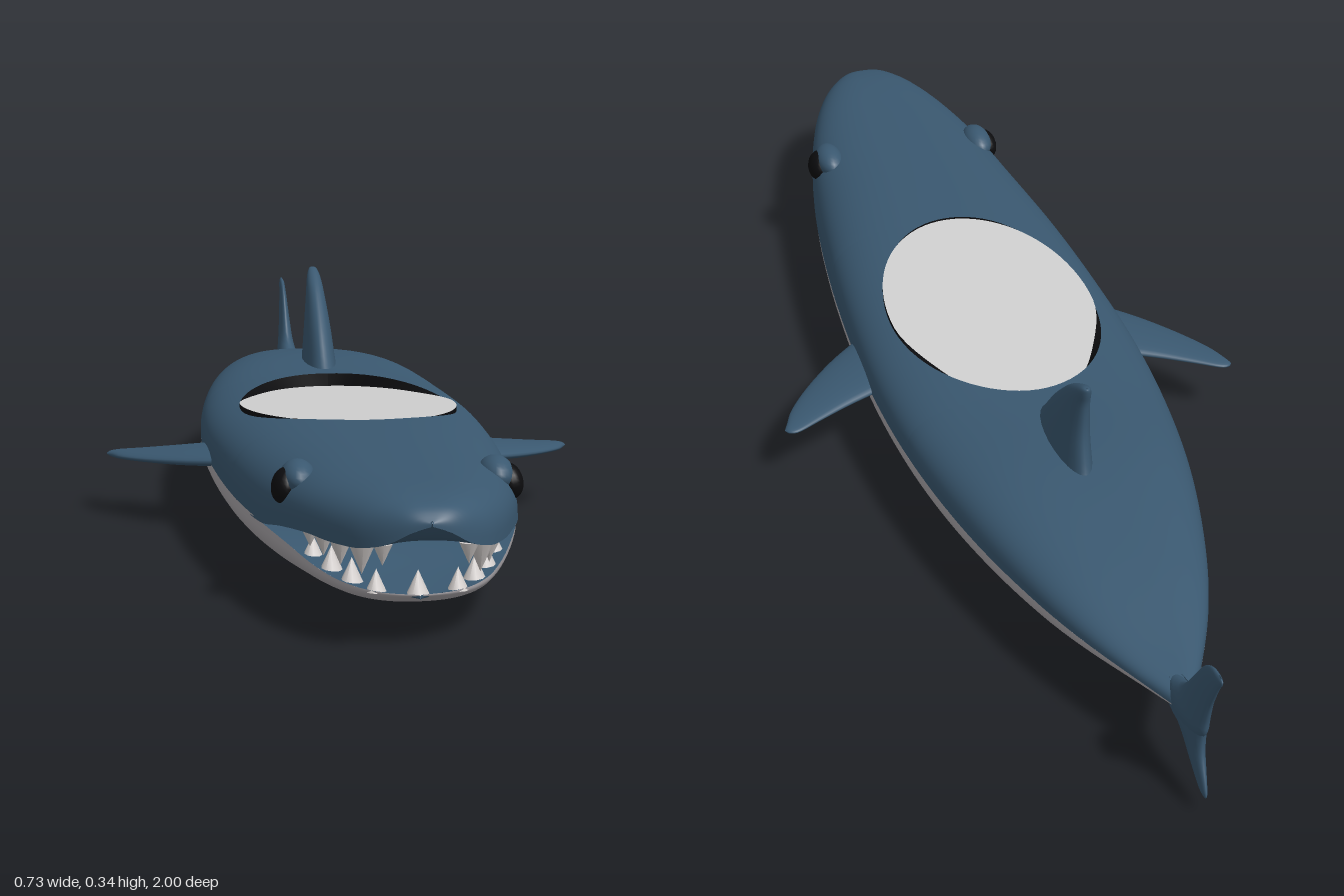
import * as THREE from 'three';
import { mergeGeometries, mergeVertices } from 'three/addons/utils/BufferGeometryUtils.js';
import { ParametricGeometry } from 'three/addons/geometries/ParametricGeometry.js';

const material = (name, color) => {
  const m = new THREE.MeshStandardMaterial({ color, side: THREE.DoubleSide });
  m.name = name;
  return m;
};

// smooth profile along z from [z, value] pairs
const profile = (...pairs) => {
  const curve = new THREE.CubicInterpolant(pairs.map(p => p[0]), pairs.map(p => p[1]), 1);
  return z => curve.evaluate(z)[0];
};

const width = profile([-0.86, 0.014], [-0.8, 0.045], [-0.7, 0.09], [-0.6, 0.125], [-0.4, 0.175], [-0.2, 0.205],
  [0, 0.217], [0.2, 0.213], [0.4, 0.2], [0.6, 0.177], [0.7, 0.16], [0.8, 0.137], [0.9, 0.104], [0.95, 0.077], [0.98, 0.047], [0.993, 0.024], [1, 0.001]);
const top = profile([-0.86, 0.13], [-0.8, 0.138], [-0.6, 0.172], [-0.4, 0.192], [-0.17, 0.19], [0.1, 0.195],
  [0.37, 0.201], [0.8, 0.202], [0.9, 0.201], [0.95, 0.197], [0.98, 0.19], [1, 0.174]);
const upperSeam = profile([-0.86, 0.114], [-0.8, 0.118], [-0.4, 0.112], [0, 0.105], [0.4, 0.1], [0.6, 0.1],
  [0.7, 0.115], [0.8, 0.126], [0.9, 0.13], [0.95, 0.135], [0.98, 0.147], [1, 0.17]);
const lowerSeam = profile([-0.86, 0.114], [-0.8, 0.118], [-0.4, 0.112], [0, 0.105], [0.4, 0.1], [0.6, 0.1],
  [0.7, 0.093], [0.8, 0.076], [0.9, 0.062]);
const jawWidth = profile([-0.86, 0.014], [-0.8, 0.045], [-0.7, 0.09], [-0.6, 0.125], [-0.4, 0.175], [-0.2, 0.205],
  [0, 0.217], [0.2, 0.213], [0.4, 0.2], [0.6, 0.176], [0.7, 0.153], [0.8, 0.117], [0.85, 0.09], [0.88, 0.06], [0.893, 0.033], [0.9, 0.001]);
const bottom = profile([-0.86, 0.108], [-0.8, 0.1], [-0.6, 0.058], [-0.4, 0.03], [-0.2, 0.01], [0, 0.002], [0.1, 0],
  [0.3, 0.003], [0.5, 0.012], [0.7, 0.027], [0.8, 0.036], [0.87, 0.047], [0.9, 0.06]);

// cockpit ellipse
const CZ = 0.1, CX = 0.165, CL = 0.27;
const floorY = z => 0.198 - 0.053 * (CZ + CL - z);
const cockpitHalf = z => CX * Math.sqrt(Math.max(0, 1 - ((z - CZ) / CL) ** 2));

const range = (n, f) => Array.from({ length: n + 1 }, (_, i) => f(i / n));
const easeOut = (a, b, n) => range(n, t => a + (b - a) * Math.sin(t * Math.PI / 2));

// surface through stations zs; f(z, v) gives [x, y] or [x, y, z]
function sheet(zs, nv, f) {
  const n = zs.length - 1;
  return new ParametricGeometry((u, v, p) => {
    const z = zs[Math.min(n, Math.round(u * n))];
    const [x, y, w = z] = f(z, Math.min(1, v));
    p.set(x, y, w);
  }, n, nv);
}

function smooth(...geos) {
  for (const g of geos) { g.deleteAttribute('normal'); g.deleteAttribute('uv'); }
  const g = mergeVertices(mergeGeometries(geos), 1e-5);
  g.computeVertexNormals();
  return g;
}

const P = 2.8;
const rimAngle = z => Math.acos(Math.min(1, (cockpitHalf(z) / width(z)) ** (P / 2)));
const deckPoint = (z, a) => {
  const s = upperSeam(z);
  return [width(z) * Math.max(0, Math.cos(a)) ** (2 / P), s + (top(z) - s) * Math.max(0, Math.sin(a)) ** (2 / P)];
};

// fin lofted from [height, front z, back z, half thickness]; place maps (height, z, thickness) to a point
function fin(rows, place) {
  const path = i => new THREE.SplineCurve(rows.map(r => new THREE.Vector2(r[0], r[i])));
  const [front, back, thick] = [path(1), path(2), path(3)];
  const body = new ParametricGeometry((u, v, p) => {
    const t = Math.min(1, v), a = u * Math.PI * 2;
    const f = front.getPoint(t), b = back.getPoint(t), h = thick.getPoint(t).y;
    p.set(...place(f.x, (f.y + b.y) / 2 + Math.cos(a) * (f.y - b.y) / 2, Math.sin(a) * h));
  }, 24, 20);
  return smooth(body);
}

export function createModel() {
  const model = new THREE.Group();
  const blue = material('slate blue', 0x3a5870);
  const grey = material('belly grey', 0xb0acb0);
  const pale = material('cockpit grey', 0xd0d0d0);
  const ivory = material('tooth white', 0xd2cdcb);
  const black = material('black', 0x0c0c0e);
  const add = (name, geometry, mat) => {
    const m = new THREE.Mesh(geometry, mat);
    m.name = name;
    model.add(m);
    return m;
  };

  // upper body with an oval opening
  const cockpitZ = range(36, t => CZ - CL * Math.cos(t * Math.PI));
  const upperZ = [...range(24, t => -0.86 + t * (CZ - CL + 0.86)), ...cockpitZ.slice(1), ...easeOut(CZ + CL, 1, 40).slice(1)];
  add('upperBody', smooth(
    sheet(upperZ, 16, (z, v) => deckPoint(z, rimAngle(z) * (1 - v))),
    sheet(upperZ, 16, (z, v) => { const [x, y] = deckPoint(z, rimAngle(z) * v); return [-x, y]; })), blue);

  // belly and lower jaw
  const lowerZ = [...range(50, t => -0.86 + t * 1.36), ...easeOut(0.5, 0.9, 30).slice(1)];
  add('belly', smooth(sheet(lowerZ, 32, (z, v) => {
    const c = Math.cos(v * Math.PI), s = Math.max(0, Math.sin(v * Math.PI)), y = lowerSeam(z);
    return [jawWidth(z) * Math.sign(c) * Math.abs(c) ** 0.9, y - (y - bottom(z)) * s ** 0.9];
  })), grey);

  // mouth interior
  add('palate', smooth(sheet(easeOut(0.58, 1, 24), 12, (z, v) =>
    [width(z) * (1 - 2 * v), upperSeam(z) + 0.008 * Math.sin(v * Math.PI)])), blue);
  add('mouthFloor', smooth(sheet(easeOut(0.58, 0.9, 24), 12, (z, v) =>
    [jawWidth(z) * (2 * v - 1), lowerSeam(z) - 0.006 * Math.sin(v * Math.PI)])), blue);

  // cockpit floor, drawn in a little towards the back
  const inset = z => 1 - 0.1 * (1 - THREE.MathUtils.smoothstep(z, -0.08, 0.08));
  const floor = new THREE.CircleGeometry(1, 72);
  const pos = floor.attributes.position;
  for (let i = 0; i < pos.count; i++) {
    const z = CZ - CL * pos.getY(i);
    pos.setXYZ(i, CX * pos.getX(i) * inset(z), floorY(z), z);
  }
  floor.computeVertexNormals();
  add('cockpitFloor', floor, pale);
  for (const s of [1, -1]) {
    add('cockpitWall', smooth(sheet(cockpitZ, 1, (z, v) => {
      const x = cockpitHalf(z), y = deckPoint(z, rimAngle(z))[1];
      return [s * x * (1 + (inset(z) - 1) * v), y + (floorY(z) - y) * v];
    })), black);
  }

  // dorsal and tail fins
  const upright = (h, z, t) => [t, h, z];
  add('dorsalFin', fin([[0.17, -0.19, -0.425, 0.029], [0.2, -0.225, -0.412, 0.026], [0.25, -0.275, -0.402, 0.021],
    [0.3, -0.335, -0.406, 0.015], [0.325, -0.375, -0.414, 0.011], [0.337, -0.4, -0.417, 0.006], [0.339, -0.412, -0.414, 0.0005]], upright), blue);
  add('tailFinUpper', fin([[0.1, -0.8, -0.92, 0.014], [0.125, -0.8, -0.943, 0.017], [0.15, -0.86, -0.95, 0.013], [0.19, -0.897, -0.964, 0.009],
    [0.23, -0.93, -0.985, 0.006], [0.25, -0.958, -0.998, 0.004], [0.256, -0.985, -0.993, 0.0005]], upright), blue);
  add('tailFinLower', fin([[0.135, -0.81, -0.943, 0.014], [0.11, -0.815, -0.938, 0.015], [0.085, -0.862, -0.94, 0.011],
    [0.055, -0.9, -0.953, 0.007], [0.035, -0.93, -0.96, 0.004], [0.028, -0.95, -0.956, 0.0005]], upright), blue);

  // paired parts
  for (const s of [1, -1]) {
    const side = s > 0 ? 'left' : 'right';
    add(side + 'PectoralFin', fin([[0.18, 0.19, 0.03, 0.013], [0.21, 0.172, 0.018, 0.013], [0.26, 0.13, 0, 0.011],
      [0.31, 0.075, -0.022, 0.008], [0.345, 0.025, -0.038, 0.006], [0.36, -0.01, -0.036, 0.004], [0.366, -0.024, -0.028, 0.0005]],
      (h, z, t) => [s * h, 0.108 - 0.11 * (h - 0.2) + t, z]), blue);
    const brow = add(side + 'Brow', new THREE.SphereGeometry(1, 20, 14), blue);
    brow.position.set(s * 0.134, 0.176, 0.675);
    brow.scale.set(0.024, 0.024, 0.045);
    const eye = add(side + 'Eye', new THREE.SphereGeometry(1, 20, 14), black);
    eye.position.set(s * 0.152, 0.166, 0.68);
    eye.scale.set(0.018, 0.025, 0.03);
    eye.rotation.z = s * 0.25;
  }

  // teeth
  const tooth = (x, y, z, r, h, down) => {
    const t = add(down ? 'upperTooth' : 'lowerTooth', new THREE.ConeGeometry(r, h, 10), ivory);
    t.position.set(x, y + (down ? -1 : 1) * h * 0.4, z);
    if (down) t.rotation.x = Math.PI;
  };
  for (const s of [1, -1]) {
    [[0.945, 0.013, 0.028], [0.905, 0.02, 0.045], [0.85, 0.019, 0.042], [0.795, 0.018, 0.038], [0.745, 0.015, 0.03]].forEach(([z, r, h]) =>
      tooth(s * (width(z) - 0.026), upperSeam(z) + 0.002, z, r, h, true));
    [[0.87, 0.014, 0.03], [0.835, 0.016, 0.034], [0.79, 0.016, 0.034], [0.74, 0.014, 0.028]].forEach(([z, r, h]) =>
      tooth(s * (jawWidth(z) - 0.02), lowerSeam(z) - 0.002, z, r, h, false));
  }
  tooth(0, 0.062, 0.878, 0.015, 0.032, false);

  return model;
}
